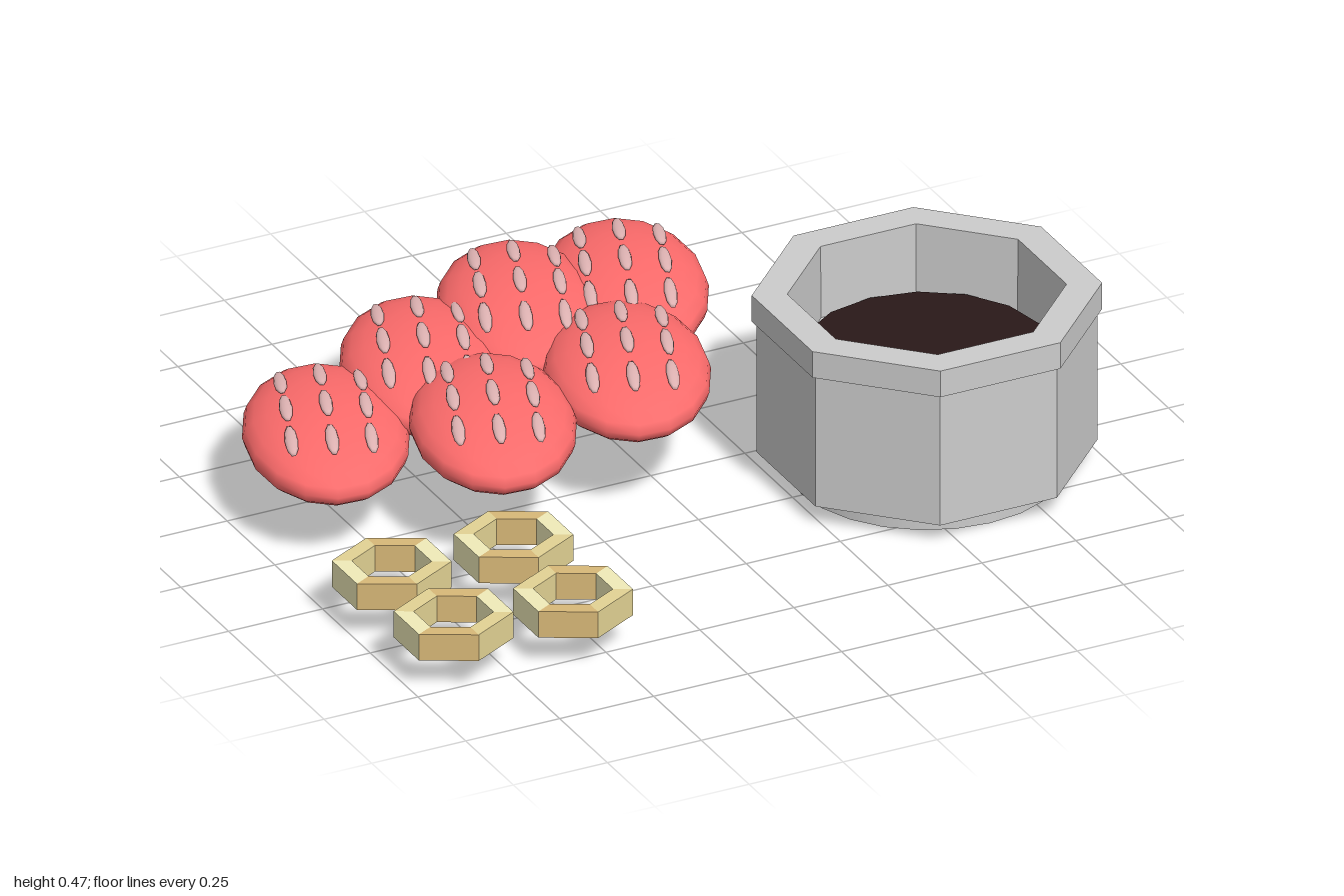
import * as THREE from 'three';

const mat = (color, flatShading = false) => new THREE.MeshStandardMaterial({ color, flatShading });

function add(parent, name, geometry, material) {
  const mesh = new THREE.Mesh(geometry, material);
  mesh.name = name;
  parent.add(mesh);
  return mesh;
}

// Octagonal bowl with a raised rim, a round foot and dark sauce inside
function createBowl() {
  const bowl = new THREE.Group();
  bowl.name = 'bowl';
  bowl.position.set(0.61, 0, 0.245);
  // flat-to-centre distances and heights, from under the bowl up and into the well
  const profile = [[0, 0.05], [0.375, 0.05], [0.375, 0.4], [0.385, 0.4], [0.385, 0.47],
    [0.307, 0.47], [0.305, 0.28], [0, 0.28]]
    .map(([r, y]) => new THREE.Vector2(r / Math.cos(Math.PI / 8), y));
  add(bowl, 'octagonalBody', new THREE.LatheGeometry(profile, 8, Math.PI / 8), mat(0xcccccc, true));

  const foot = add(bowl, 'foot', new THREE.CylinderGeometry(0.334, 0.334, 0.052, 24), mat(0xcccccc));
  foot.position.y = 0.026;
  const sauce = add(bowl, 'sauce', new THREE.CylinderGeometry(0.3, 0.3, 0.02, 16), mat(0x2a1818));
  sauce.position.y = 0.295;
  return bowl;
}

// Flattened oval slice with a 3 x 3 pattern of thin pale streaks on top
const RX = 0.2, RY = 0.082, RZ = 0.328;
const sliceMat = mat(0xff6c6c);
const streakMat = mat(0xe0b4b4);
const sliceGeo = new THREE.SphereGeometry(1, 16, 12).scale(RX, RY, RZ);
const streakGeo = new THREE.SphereGeometry(1, 10, 6).scale(0.016, 0.009, 0.068);

function createSlice(x, y, z) {
  const slice = new THREE.Group();
  slice.name = 'slice';
  slice.position.set(x, y, z);
  slice.rotation.y = -0.38;
  add(slice, 'sliceBody', sliceGeo, sliceMat);
  const up = new THREE.Vector3(0, 1, 0);
  for (let i = -1; i <= 1; i++) {
    for (let j = -1; j <= 1; j++) {
      const u = i * 0.095, v = j * 0.165 * (i ? 0.9 : 1);
      const h = RY * Math.sqrt(1 - (u / RX) ** 2 - (v / RZ) ** 2);
      const normal = new THREE.Vector3(u / RX ** 2, h / RY ** 2, v / RZ ** 2).normalize();
      const streak = add(slice, 'streak', streakGeo, streakMat);
      streak.position.set(u, h, v).addScaledVector(normal, 0.003);
      // lean only partly with the curved surface
      streak.quaternion.setFromUnitVectors(up, normal.lerp(up, 0.35).normalize());
    }
  }
  return slice;
}

// Hexagonal ring made of six bars in alternating shades
const nutMats = [mat(0xf0ebb8), mat(0xd8b878), mat(0xe2d294)];
const barGeos = Array.from({ length: 6 }, (_, k) => {
  const corner = (r, s) => {
    const a = (k + s / 2) * Math.PI / 3;
    return new THREE.Vector2(Math.cos(a) * r * 1.1, Math.sin(a) * r);
  };
  const shape = new THREE.Shape([corner(0.088, -1), corner(0.132, -1), corner(0.132, 1), corner(0.088, 1)]);
  return new THREE.ExtrudeGeometry(shape, { depth: 0.07, bevelEnabled: false }).rotateX(-Math.PI / 2);
});

function createRing(x, z) {
  const ring = new THREE.Group();
  ring.name = 'hexRing';
  ring.position.set(x, 0.08, z);
  barGeos.forEach((geo, k) => add(ring, 'ringSide', geo, nutMats[k % 3]));
  return ring;
}

export function createModel() {
  const model = new THREE.Group();
  model.name = 'platter';
  model.add(createBowl());

  // Back row of four slices, then two laid over the front
  [[-0.755, 0.19, -0.215], [-0.415, 0.215, -0.375], [-0.1, 0.235, -0.49], [0.185, 0.22, -0.5],
    [-0.42, 0.24, 0], [-0.02, 0.245, -0.085]]
    .forEach((p) => model.add(createSlice(...p)));

  [[-0.872, 0.36], [-0.553, 0.37], [-0.857, 0.655], [-0.552, 0.68]]
    .forEach((p) => model.add(createRing(...p)));
  return model;
}
